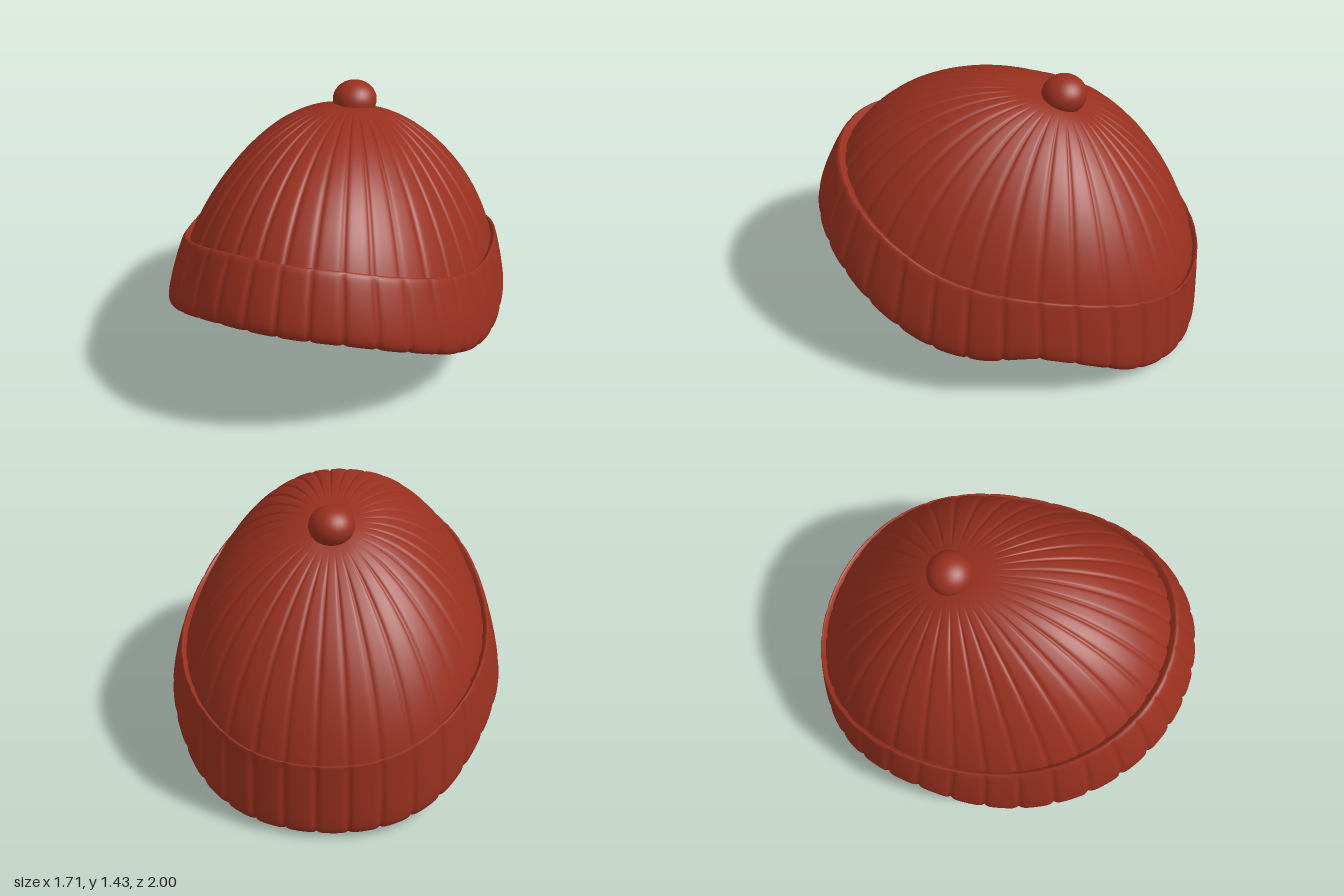
import * as THREE from 'three';

const RIBS = 34, SEG = RIBS * 12;
const HALF_W = 0.858, HALF_D = 1.0;
const APEX = new THREE.Vector3(0, 1.3, -0.26);
const CORE = new THREE.Vector3(0, 0.6, -0.05);

// Heights around the head, evenly spaced from front (cos = 1) to back (cos = -1)
const heightCurve = (ys) => {
  const curve = new THREE.SplineCurve(ys.map((y, i) => new THREE.Vector2(i, y)));
  return (t) => curve.getPoint((1 - Math.cos(t)) / 2).y;
};
const cuffBottom = heightCurve([0.645, 0.525, 0.385, 0.29, 0.265, 0.295, 0.22, 0.08, 0.0]);
const cuffTop = heightCurve([0.995, 0.9, 0.8, 0.715, 0.67, 0.645, 0.605, 0.53, 0.435]);

// Scale of the head outline where the cuff meets the dome
const topScale = (t) => 0.908 - 0.057 * Math.cos(t) + 0.02 * Math.cos(t) ** 2;

// Point on the slightly squared oval of the head, fuller toward the back
function oval(t, s, y) {
  const k = s * (1 + (0.029 - 0.008 * Math.cos(t)) * Math.sin(2 * t) ** 2);
  return new THREE.Vector3(HALF_W * k * Math.sin(t), y, HALF_D * k * Math.cos(t));
}

// Narrow groove between two knitted ribs: 1 in the groove, 0 on the rib
const groove = (t) => (1 - Math.abs(Math.sin(t * RIBS / 2))) ** 4;

// Closed-around surface from rows of points; rows run down the outside
function ringSurface(name, rows, pointAt, material) {
  const pos = [], index = [];
  for (let j = 0; j <= rows; j++) {
    for (let i = 0; i < SEG; i++) {
      pos.push(...pointAt((i / SEG) * Math.PI * 2, j / rows).toArray());
      if (j === rows) continue;
      const a = j * SEG + i, b = j * SEG + (i + 1) % SEG;
      index.push(a, a + SEG, b, b, a + SEG, b + SEG);
    }
  }
  const geo = new THREE.BufferGeometry();
  geo.setAttribute('position', new THREE.Float32BufferAttribute(pos, 3));
  geo.setIndex(index);
  geo.computeVertexNormals();
  const mesh = new THREE.Mesh(geo, material);
  mesh.name = name;
  return mesh;
}

// Arch from the crown to the rim, with the crown tipped toward the back
function domePoint(t, v, inset) {
  const c = Math.cos(t);
  const rim = oval(t, topScale(t) - 0.018 - inset, cuffTop(t) - 0.04);
  const crown = APEX.clone();
  crown.y -= inset;
  const p1 = crown.clone().lerp(rim, 0.35);
  p1.y = crown.y + 0.09 + 0.105 * c - 0.045 * c * c;
  const p2 = crown.clone().lerp(rim, 0.835 - 0.05 * c);
  p2.y = rim.y + 0.44 - 0.04 * c - 0.03 * c * c - inset;
  const p = new THREE.CubicBezierCurve3(crown, p1, p2, rim).getPoint(v);
  const fade = THREE.MathUtils.smoothstep(v, 0.15, 0.4);
  return p.lerp(CORE, 0.013 * fade * groove(t));
}

// Folded cuff section: [outline scale, height fraction], down the outside and up the inside
function cuffSection(t) {
  const s = topScale(t);
  const mid = (f) => s + (1 - s) * f;
  return new THREE.SplineCurve([
    [s - 0.05, 0.86], [s - 0.02, 0.96], [mid(0.02), 1.0], [mid(0.25), 0.9], [mid(0.68), 0.58],
    [0.998, 0.25], [0.99, 0.09], [0.95, 0.01], [0.905, 0], [0.87, 0.08], [0.86, 0.25], [0.865, 0.45], [0.895, 0.52],
  ].map(([x, y]) => new THREE.Vector2(x, y)));
}
const sections = new Map();
function cuffPoint(t, v) {
  if (!sections.has(t)) sections.set(t, cuffSection(t));
  const p = sections.get(t).getPoint(v);
  const low = cuffBottom(t), high = cuffTop(t);
  const fade = THREE.MathUtils.smoothstep(v, 0.12, 0.32);
  return oval(t, p.x - 0.016 * fade * groove(t), low + (high - low) * p.y);
}

export function createModel() {
  const hat = new THREE.Group();
  hat.name = 'knittedHat';
  const wool = new THREE.MeshStandardMaterial({ color: 0x98301f, side: THREE.DoubleSide });

  hat.add(ringSurface('dome', 36, (t, v) => domePoint(t, v, 0), wool));
  hat.add(ringSurface('foldedCuff', 44, cuffPoint, wool));

  // Lining starts behind the inner hem and climbs to the crown
  hat.add(ringSurface('lining', 24, (t, v) => {
    if (v > 0) return domePoint(t, 1 - (v - 1 / 24) / (1 - 1 / 24), 0.03);
    const low = cuffBottom(t);
    return oval(t, 0.89, low + (cuffTop(t) - low) * 0.4);
  }, wool));

  // Small bobble on the crown
  const bobble = new THREE.Mesh(new THREE.SphereGeometry(0.113, 32, 20), wool);
  bobble.name = 'bobble';
  bobble.scale.set(1, 0.86, 1);
  bobble.position.set(0, 1.333, -0.265);
  hat.add(bobble);
  return hat;
}
